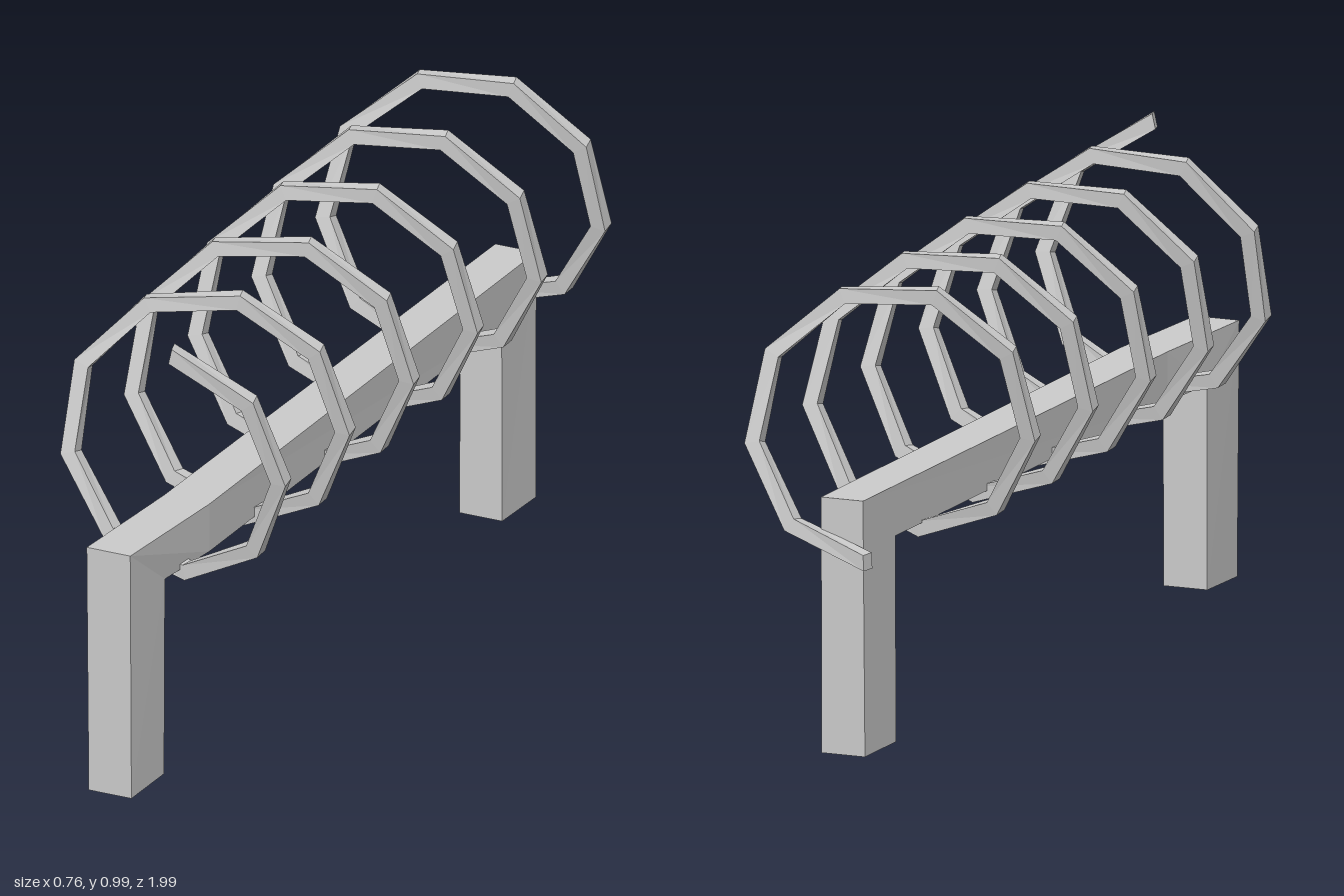
import * as THREE from 'three';

// Joins four-cornered cross-sections into a capped, flat-shaded bar.
// Corners run counter-clockwise when seen from ahead along the bar.
function loft(name, sections) {
  const pos = [];
  const quad = (a, b, c, d) => [a, b, c, a, c, d].forEach((p) => pos.push(p.x, p.y, p.z));
  for (let i = 0; i < sections.length - 1; i++) {
    const s = sections[i], t = sections[i + 1];
    for (let k = 0; k < 4; k++) {
      const n = (k + 1) % 4;
      quad(s[k], s[n], t[n], t[k]);
    }
  }
  const [a, b, c, d] = sections[0];
  quad(d, c, b, a);
  quad(...sections[sections.length - 1]);
  const geometry = new THREE.BufferGeometry();
  geometry.setAttribute('position', new THREE.Float32BufferAttribute(pos, 3));
  geometry.computeVertexNormals();
  const mesh = new THREE.Mesh(geometry, new THREE.MeshStandardMaterial({ color: 0xcccccc, flatShading: true }));
  mesh.name = name;
  return mesh;
}

// Rail bent down at both ends into legs, mitred at the corners.
// Each row: outer [xLeft, xRight, y, z], inner [xLeft, xRight, y, z]
function createRail() {
  const rows = [
    [[0.02, 0.12, 0.022, 0.99], [0.01, 0.11, 0.022, 0.835]],
    [[0.018, 0.12, 0.556, 0.995], [0.01, 0.112, 0.45, 0.835]],
    [[0.007, 0.113, 0.552, 0.65], [0.007, 0.113, 0.448, 0.65]],
    [[-0.114, -0.018, 0.535, -0.957], [-0.103, -0.006, 0.432, -0.79]],
    [[-0.115, -0.015, 0, -0.95], [-0.105, -0.005, 0.003, -0.79]],
  ];
  return loft('railWithLegs', rows.map(([o, i]) => [
    new THREE.Vector3(o[0], o[2], o[3]),
    new THREE.Vector3(o[1], o[2], o[3]),
    new THREE.Vector3(i[1], i[2], i[3]),
    new THREE.Vector3(i[0], i[2], i[3]),
  ]));
}

// Square-section spiral of straight segments around a slightly tilted axis.
function createCoil() {
  const segments = 49, step = THREE.MathUtils.degToRad(40.2);
  const start = THREE.MathUtils.degToRad(78), radius = 0.269, half = 0.0165;
  const axisStart = new THREE.Vector3(0.108, 0.714, 0.912);
  const axisEnd = new THREE.Vector3(-0.128, 0.683, -0.985);
  const axis = axisStart.clone().sub(axisEnd).normalize();

  const radial = (i) => {
    const a = start - i * step;
    const v = new THREE.Vector3(Math.cos(a), Math.sin(a), 0);
    v.z = -(v.x * axis.x + v.y * axis.y) / axis.z; // square to the axis
    return v.normalize();
  };
  const point = (i) => axisStart.clone().lerp(axisEnd, i / segments).addScaledVector(radial(i), radius);

  const sections = [];
  for (let i = 0; i <= segments; i++) {
    const p = point(i), n = radial(i);
    const along = point(i + 1).sub(point(i - 1)).normalize();
    const b = along.cross(n).normalize();
    sections.push([[-1, -1], [1, -1], [1, 1], [-1, 1]].map(([u, v]) =>
      p.clone().addScaledVector(n, u * half).addScaledVector(b, v * half)));
  }
  return loft('coil', sections);
}

export function createModel() {
  const group = new THREE.Group();
  group.name = 'spiralBikeRack';
  group.add(createRail(), createCoil());
  return group;
}
